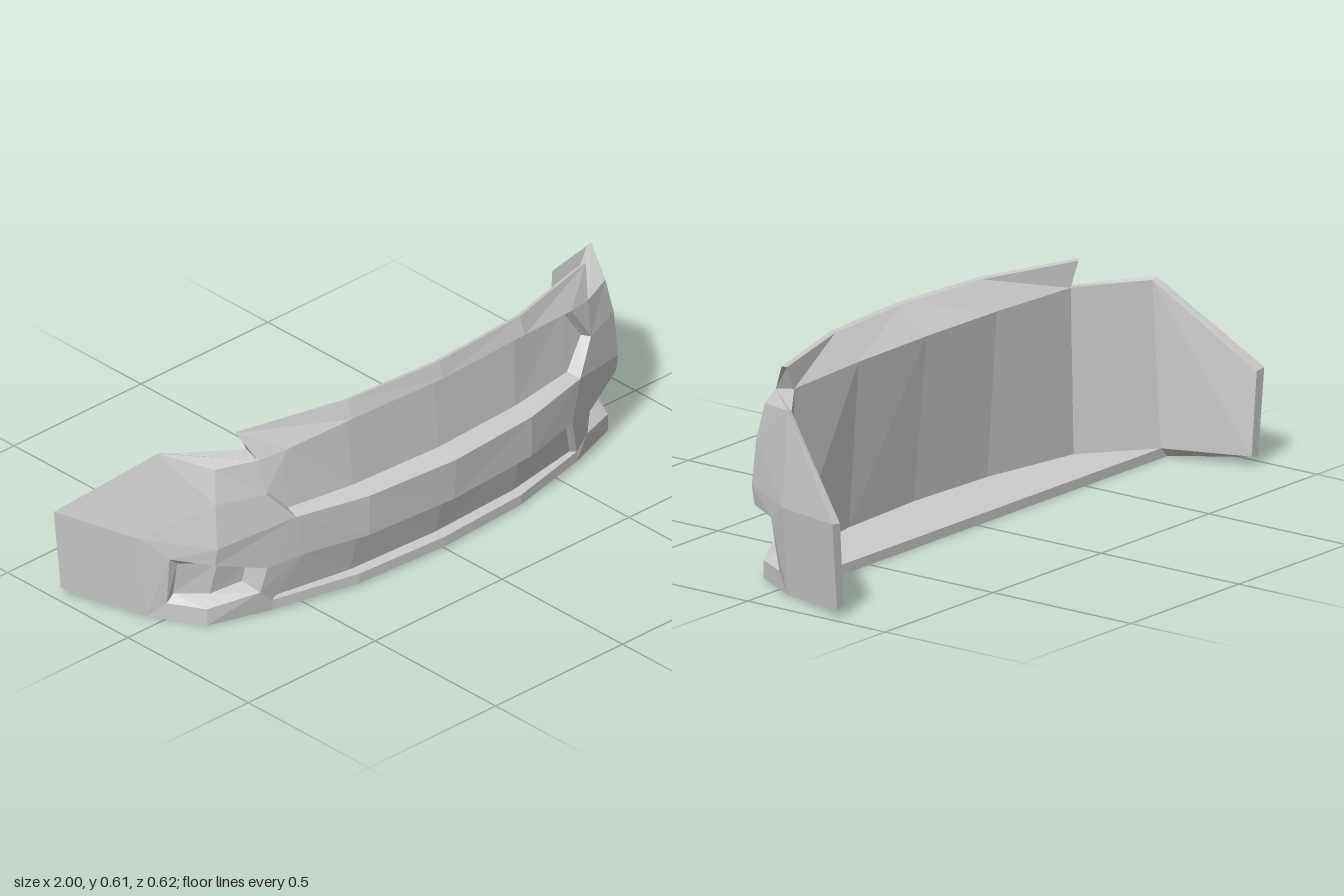
import * as THREE from 'three';

// Collects flat panels for the +x half and mirrors each one to -x.
function panelMesh(name, build) {
  const pos = [];
  const tri = (a, b, c) => {
    pos.push(...a, ...b, ...c);
    for (const p of [a, c, b]) pos.push(-p[0], p[1], p[2]);
  };
  const poly = (...p) => {
    for (let i = 1; i < p.length - 1; i++) tri(p[0], p[i], p[i + 1]);
  };
  const strip = (a, b) => {
    for (let i = 0; i < Math.min(a.length, b.length) - 1; i++) poly(a[i], a[i + 1], b[i + 1], b[i]);
  };
  build(poly, strip);
  const g = new THREE.BufferGeometry();
  g.setAttribute('position', new THREE.Float32BufferAttribute(pos, 3));
  g.computeVertexNormals();
  const mesh = new THREE.Mesh(g, new THREE.MeshStandardMaterial({
    color: 0xcccccc, flatShading: true, side: THREE.DoubleSide,
  }));
  mesh.name = name;
  return mesh;
}

export function createModel() {
  // Rows run from the centre line outwards, listed from bottom to top
  const lipBase = [[0, 0, 0.243], [0.32, 0, 0.225], [0.6, 0, 0.165], [0.79, 0, 0.107]];
  const lipLow = [[0, 0.006, 0.262], [0.32, 0.006, 0.243], [0.6, 0.006, 0.178]];
  const lipTop = [[0, 0.038, 0.262], [0.32, 0.038, 0.243], [0.6, 0.038, 0.178]];
  const intakeLow = [[0, 0.038, 0.222], [0.32, 0.038, 0.207], [0.585, 0.038, 0.162]];
  const intakeTop = [[0, 0.183, 0.26], [0.32, 0.183, 0.243], [0.53, 0.188, 0.205]];
  const bandLow = [[0, 0.183, 0.303], [0.32, 0.185, 0.285], [0.53, 0.188, 0.235]];
  const bandTop = [[0, 0.315, 0.31], [0.32, 0.317, 0.288], [0.56, 0.322, 0.235]];
  const grilleLow = [[0, 0.325, 0.235], [0.32, 0.326, 0.22], [0.55, 0.33, 0.19]];
  const grilleTop = [[0, 0.552, 0.215], [0.33, 0.547, 0.2], [0.55, 0.523, 0.167]];
  const browLow = [[0, 0.562, 0.255], [0.34, 0.558, 0.235], [0.56, 0.532, 0.198]];
  const browTop = [[0, 0.613, 0.24], [0.34, 0.612, 0.215], [0.69, 0.605, 0.12]];
  const grilleTip = [0.64, 0.413, 0.195], grilleTipIn = [0.625, 0.413, 0.168];
  const notch = [0.65, 0.52, 0.172];

  // Corner columns: front bend, side bend, rear end
  const bend0 = lipBase[3], bend1 = [0.79, 0.27, 0.15], bend2 = [0.785, 0.41, 0.137], bend3 = [0.77, 0.515, 0.118];
  const side0 = [0.88, 0, -0.05], side1 = [0.902, 0.265, -0.05], side2 = [0.855, 0.54, -0.03];
  const rear0 = [0.975, 0.023, -0.305], rear1 = [1, 0.285, -0.308];

  // Fog lamp pocket rim and floor, matching corner by corner
  const fogRim = [[0.635, 0.165, 0.195], [0.645, 0.08, 0.175], [0.79, 0.054, 0.107],
    [0.85, 0.054, 0.003], [0.86, 0.213, 0.025], [0.79, 0.213, 0.14]];
  const fogIn = [[0.65, 0.152, 0.12], [0.655, 0.095, 0.11], [0.755, 0.08, 0.08],
    [0.825, 0.076, 0.003], [0.83, 0.188, 0.025], [0.745, 0.188, 0.103]];

  // Inner skin
  const inLow = [[0, 0.03, 0.18], [0.32, 0.03, 0.165], [0.65, 0.03, 0.11], [0.85, 0.03, -0.05]];
  const inTop = [[0, 0.53, 0.135], [0.32, 0.53, 0.13], [0.64, 0.528, 0.113], [0.835, 0.532, -0.03]];
  const inBrow = [[0, 0.609, 0.225], [0.34, 0.608, 0.2], [0.675, 0.601, 0.112]];
  const inRear0 = [0.945, 0.03, -0.305], inRear1 = [0.965, 0.28, -0.308];
  const backEdge = (y) => inLow.map((p) => [p[0], y, -0.05]);

  const group = new THREE.Group();
  group.name = 'frontBumper';
  const add = (name, build) => group.add(panelMesh(name, build));

  add('lowerLip', (poly, strip) => {
    strip(lipBase, lipLow);
    strip(lipLow, lipTop);
    poly(lipBase[2], bend0, lipLow[2]);
  });

  add('lowerIntake', (poly, strip) => {
    strip(lipTop, intakeLow);
    strip(intakeLow, intakeTop);
    strip(intakeTop, bandLow);
    poly(lipTop[2], bandLow[2], intakeTop[2], intakeLow[2]);
  });

  add('bumperBand', (poly, strip) => strip(bandLow, bandTop));

  add('upperGrille', (poly, strip) => {
    strip(bandTop, grilleLow);
    strip(grilleLow, grilleTop);
    strip(grilleTop, browLow);
    poly(grilleLow[2], grilleTipIn, grilleTop[2]);
    poly(bandTop[2], grilleTip, grilleTipIn, grilleLow[2]);
    poly(grilleTip, browLow[2], grilleTop[2], grilleTipIn);
  });

  add('upperBrow', (poly, strip) => {
    strip(browLow, browTop);
    strip(browTop, inBrow);
    poly(browLow[2], notch, browTop[2]);
    poly(notch, inTop[2], inBrow[2], browTop[2]);
  });

  add('cornerPanels', (poly) => {
    const [a, b, c, d, e, f] = fogRim;
    poly(grilleTip, bend2, bend3, notch, browLow[2]);
    poly(grilleTip, bandTop[2], bend1, bend2);
    poly(bandTop[2], bandLow[2], a, f, bend1);
    poly(bandLow[2], lipTop[2], b, a);
    poly(b, lipTop[2], lipLow[2], bend0, c);
    poly(c, bend0, side0, d);
    poly(e, d, side0, side1, bend1, f);
    poly(bend2, bend1, side1, side2, bend3);
    poly(side1, side0, rear0, rear1);
    poly(side1, rear1, side2);
  });

  add('fogLampPockets', (poly) => {
    for (let i = 0; i < 6; i++) {
      const j = (i + 1) % 6;
      poly(fogRim[i], fogRim[j], fogIn[j], fogIn[i]);
    }
    const [a, b, c, d, e, f] = fogIn;
    poly(a, b, c, f);
    poly(f, c, d, e);
  });

  add('innerSkin', (poly, strip) => {
    strip(inTop, inLow);
    strip(inBrow, inTop);
    poly(inTop[3], inRear1, inRear0, inLow[3]);
  });

  add('edgeRims', (poly) => {
    poly(notch, bend3, side2, inTop[3], inTop[2]);
    poly(side2, rear1, inRear1, inTop[3]);
    poly(rear1, rear0, inRear0, inRear1);
    poly(rear0, side0, inLow[3], inRear0);
  });

  add('floorPlate', (poly, strip) => {
    const top = backEdge(0.03);
    strip(inLow.slice(0, 3), top);
    poly(inLow[2], inLow[3], top[2]);
    const under = lipBase.map((p) => [p[0], 0, -0.05]);
    strip(under, lipBase);
    poly(under[3], side0, bend0);
    poly(top[0], inLow[3], side0, under[0]);
  });

  return group;
}
